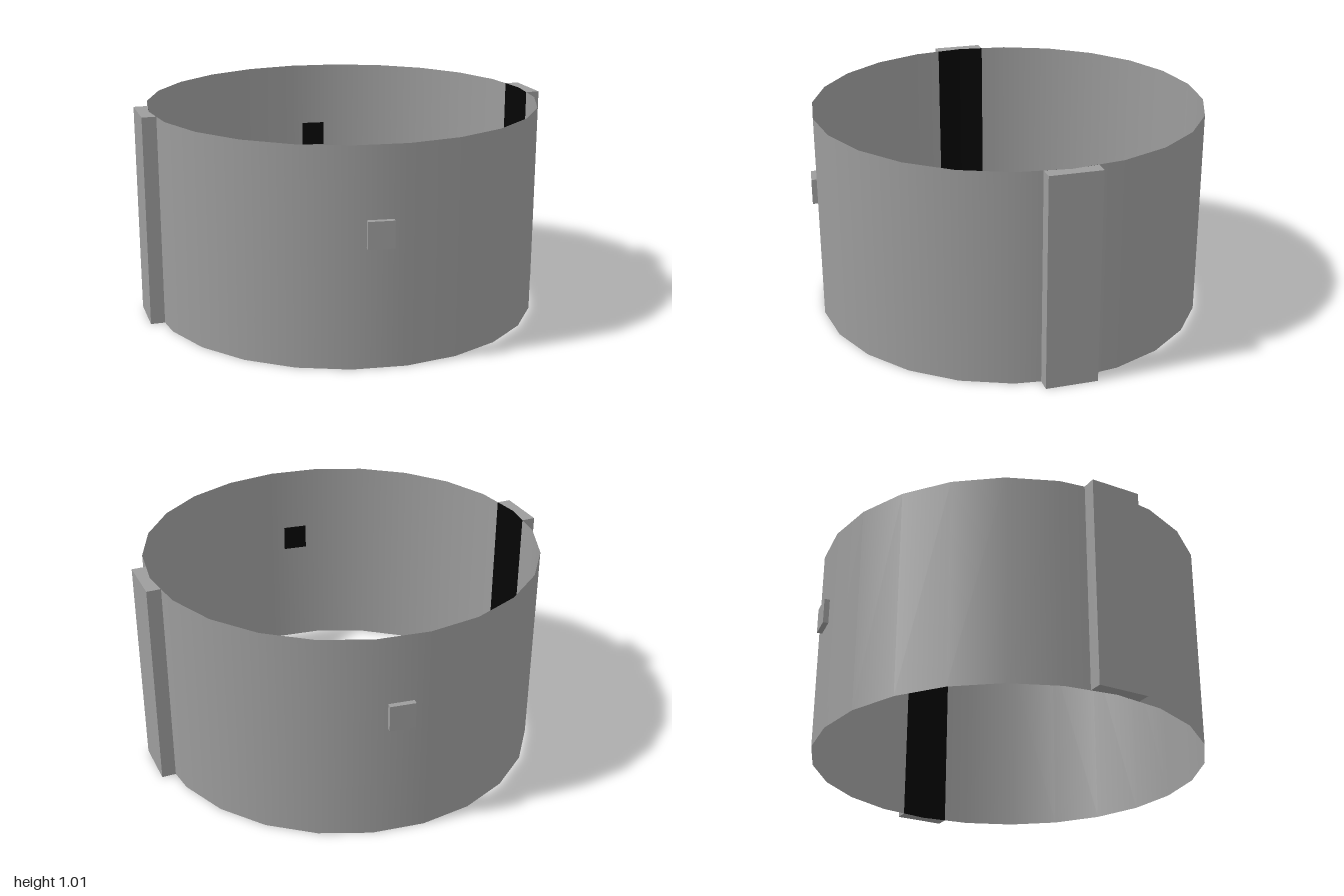
import * as THREE from 'three';

const HEIGHT = 1.015;
const RADIUS = 0.95;
const SIDES = 24;
const STEP = (Math.PI * 2) / SIDES;
const APOTHEM = RADIUS * Math.cos(STEP / 2);

// Point on the plan at a given angle from +x towards +z, as [x, z]
const polar = (r, a) => [r * Math.cos(a), r * Math.sin(a)];

// Upright prism standing on y = 0 from a plan outline of [x, z] points
function prism(points, height) {
  const shape = new THREE.Shape(points.map(([x, z]) => new THREE.Vector2(x, -z)));
  const geometry = new THREE.ExtrudeGeometry(shape, { depth: height, bevelEnabled: false });
  return geometry.rotateX(-Math.PI / 2);
}

function addMesh(parent, name, geometry, material) {
  const mesh = new THREE.Mesh(geometry, material);
  mesh.name = name;
  parent.add(mesh);
  return mesh;
}

export function createModel() {
  const grey = new THREE.MeshStandardMaterial({ color: 0x9c9c9c });
  grey.name = 'grey';
  grey.side = THREE.DoubleSide;
  const black = new THREE.MeshStandardMaterial({ color: 0x050505 });
  black.name = 'black';

  const model = new THREE.Group();
  model.name = 'ring';

  // Open, paper-thin wall
  const wall = new THREE.CylinderGeometry(RADIUS, RADIUS, HEIGHT, SIDES, 1, true);
  addMesh(model, 'wall', wall.translate(0, HEIGHT / 2, 0), grey);

  // Each half carries one tall rib and one small tab, repeated half a turn on
  for (const turn of [0, Math.PI]) {
    const half = new THREE.Group();
    half.name = turn === 0 ? 'leftRibAndFrontTab' : 'rightRibAndBackTab';
    half.rotation.y = turn;
    model.add(half);

    // Tall rib: its back follows the bend of two wall facets
    const start = polar(APOTHEM, STEP / 2);
    const bend = polar(RADIUS, STEP);
    const end = polar(APOTHEM, STEP * 1.5);
    const out = polar(0.068, STEP);
    const push = ([x, z], k) => [x + out[0] * k, z + out[1] * k];
    addMesh(half, 'rib', prism([start, push(start, 1), push(end, 1), end, bend], HEIGHT), grey);

    // Dark lining on the inside of the wall behind the rib
    const inner = [start, bend, end];
    const lining = [...inner.map((p) => push(p, -0.002)), ...inner.map((p) => push(p, -0.004)).reverse()];
    addMesh(half, 'ribLining', prism(lining, HEIGHT), black);

    // Small tab outside, with a dark plate inside, on the middle of one facet
    const tab = new THREE.Group();
    tab.name = 'tab';
    tab.rotation.y = -STEP * 1.5;
    tab.position.y = 0.622;
    half.add(tab);
    const outer = new THREE.BoxGeometry(0.12, 0.125, 0.026);
    addMesh(tab, 'tabBlock', outer.translate(0, 0, APOTHEM + 0.013), grey);
    const plate = new THREE.BoxGeometry(0.12, 0.125, 0.009);
    addMesh(tab, 'tabPlate', plate.translate(0, 0, APOTHEM - 0.0045), black);
  }
  return model;
}
